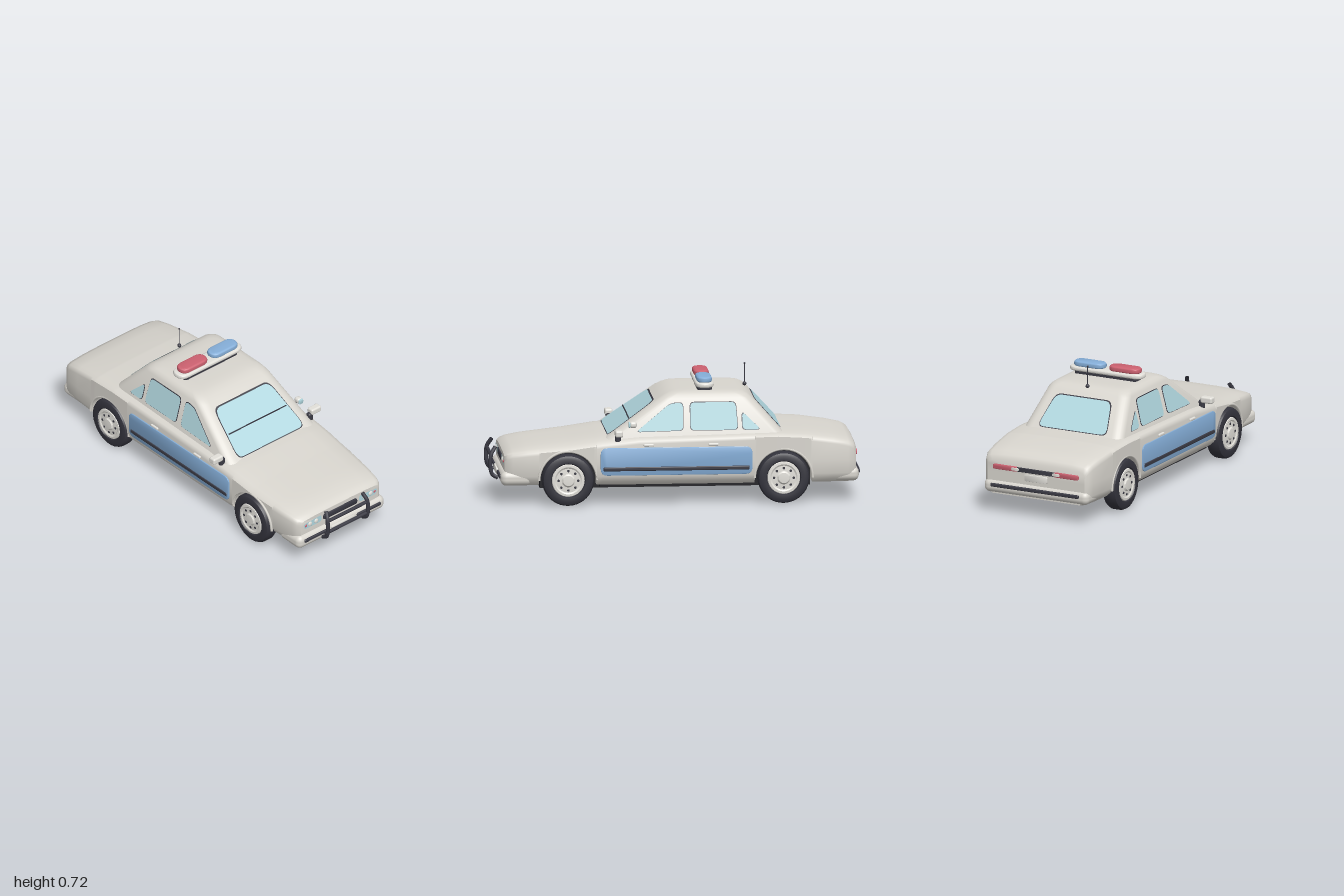
import * as THREE from 'three';
import { toCreasedNormals } from 'three/addons/utils/BufferGeometryUtils.js';
import { RoundedBoxGeometry } from 'three/addons/geometries/RoundedBoxGeometry.js';

const mat = (name, color) => new THREE.MeshStandardMaterial({ name, color, side: THREE.DoubleSide });
const M = {
  paint: mat('paint', 0xd8d5ce), trim: mat('trim', 0x3a3a44), tyre: mat('tyre', 0x33333c),
  glass: mat('glass', 0xb0d6de), blue: mat('blue', 0x85aed8), red: mat('red', 0xcc6170),
  under: mat('underbody', 0x1c1c21), white: mat('white', 0xe2e0da),
};
const SIDES = [1, -1];
const AXLES = [0.585, -0.58], AXLE_Y = 0.14, ARCH_R = 0.155;

// Closed loops joined into a capped skin
function loft(rings, crease = 0.7) {
  const n = rings[0].length, pos = rings.flat(2), idx = [];
  for (let i = 0; i < rings.length - 1; i++)
    for (let j = 0; j < n; j++) {
      const a = i * n + j, b = i * n + (j + 1) % n;
      idx.push(a, b, a + n, b, b + n, a + n);
    }
  [0, rings.length - 1].forEach((r, end) => {
    const c = pos.length / 3;
    for (let k = 0; k < 3; k++) pos.push(rings[r].reduce((s, p) => s + p[k], 0) / n);
    for (let j = 0; j < n; j++) {
      const a = r * n + j, b = r * n + (j + 1) % n;
      idx.push(c, ...(end ? [a, b] : [b, a]));
    }
  });
  const g = new THREE.BufferGeometry();
  g.setAttribute('position', new THREE.Float32BufferAttribute(pos, 3));
  g.setIndex(idx);
  return toCreasedNormals(g, crease);
}

// Polygon with softened corners
function softShape(pts, r) {
  const v = pts.map(p => new THREE.Vector2(...p)), s = new THREE.Shape(), n = v.length;
  v.forEach((p, i) => {
    const toward = q => p.clone().add(q.clone().sub(p).setLength(Math.min(r, q.distanceTo(p) / 2)));
    const a = toward(v[(i + n - 1) % n]), b = toward(v[(i + 1) % n]);
    i ? s.lineTo(a.x, a.y) : s.moveTo(a.x, a.y);
    s.quadraticCurveTo(p.x, p.y, b.x, b.y);
  });
  s.closePath();
  return s;
}
const rect = (w, h) => [[-w / 2, -h / 2], [w / 2, -h / 2], [w / 2, h / 2], [-w / 2, h / 2]];

// Flat shape bent onto a surface by a rule
function plate(pts, r, rule) {
  const g = new THREE.ShapeGeometry(softShape(pts, r), 6), p = g.attributes.position;
  for (let i = 0; i < p.count; i++) p.setXYZ(i, ...rule(p.getX(i), p.getY(i)));
  g.computeVertexNormals();
  return g;
}

// Rounded slab facing +z
function pad(w, h, d, r, b) {
  const g = new THREE.ExtrudeGeometry(softShape(rect(w - 2 * b, h - 2 * b), r),
    { depth: d - 2 * b, bevelSize: b, bevelThickness: b, bevelSegments: 4, curveSegments: 6 });
  return toCreasedNormals(g.translate(0, 0, b - d / 2), 0.7);
}

// Lower body stations: z, half width, top height, shoulder drop
const KEYS = [
  [-0.975, 0.298, 0.305, 0.02], [-0.96, 0.315, 0.33, 0.02], [-0.93, 0.325, 0.346, 0.02],
  [-0.85, 0.332, 0.363, 0.02], [-0.7, 0.34, 0.382, 0.018], [-0.55, 0.342, 0.388, 0.015],
  [0.2, 0.342, 0.376, 0.02], [0.4, 0.341, 0.366, 0.03], [0.57, 0.334, 0.342, 0.03],
  [0.8, 0.316, 0.316, 0.025], [0.88, 0.304, 0.301, 0.02], [0.91, 0.294, 0.288, 0.015],
  [0.925, 0.277, 0.274, 0.012],
];
function bodyRing(z) {
  const k = Math.max(0, Math.min(KEYS.length - 2, KEYS.findIndex(q => q[0] >= z) - 1));
  const t = (z - KEYS[k][0]) / (KEYS[k + 1][0] - KEYS[k][0]);
  const [, w, top, drop] = KEYS[k].map((q, i) => THREE.MathUtils.lerp(q, KEYS[k + 1][i], t));
  let floor = 0.11;
  for (const c of AXLES) {
    const d = Math.abs(z - c);
    if (d < ARCH_R) floor = AXLE_Y + Math.sqrt(ARCH_R ** 2 - d * d);
  }
  const sh = top - drop, half = [];
  for (const [f, y] of [[0.9, 0.11], [0.96, 0.13], [1, 0.16], [1, 0.23], [1, sh - 0.022], [0.99, sh - 0.008]])
    half.push([w * (floor > 0.16 ? 1 : f), Math.max(floor, y)]);
  half.push([w * 0.965, sh + drop * 0.15], [w * 0.9, sh + drop * 0.5], [w * 0.65, sh + drop * 0.88], [w * 0.3, top]);
  return [...half, ...half.slice().reverse().map(([x, y]) => [-x, y])].map(([x, y]) => [x, y, z]);
}
function bodyGeometry() {
  const zs = KEYS.map(k => k[0]);
  for (const c of AXLES) {
    for (let i = 0; i <= 20; i++) zs.push(c + ARCH_R * 0.9999 * Math.cos(i * Math.PI / 20));
    zs.push(c - ARCH_R - 0.001, c + ARCH_R + 0.001);
  }
  return loft(zs.sort((a, b) => a - b).map(bodyRing));
}

// Cabin faces lean inward linearly with height
const frontZ = y => 0.36 - (y - 0.37) * 1.42;
const rearZ = y => -0.572 + (y - 0.39) * 0.9;
const sideX = y => 0.295 - (y - 0.4) * 0.27;
function cabinGeometry() {
  const levels = [[0.33, 0], [0.37, 0], [0.565, 0], [0.582, 0.006], [0.593, 0.018], [0.599, 0.04], [0.601, 0.08]];
  return loft(levels.map(([y, inset]) => {
    const hw = sideX(y) - inset, zf = frontZ(y) - inset, zr = rearZ(y) + inset, r = 0.055, ring = [];
    for (let q = 0; q < 4; q++)
      for (let i = 0; i <= 6; i++) {
        const a = (q + i / 6) * Math.PI / 2;
        const cx = (q === 0 || q === 3 ? 1 : -1) * (hw - r), cz = q < 2 ? zr + r : zf - r;
        ring.push([cx + r * Math.cos(a), y, cz - r * Math.sin(a)]);
      }
    return ring;
  }));
}

export function createModel() {
  const car = new THREE.Group();
  car.name = 'patrolCar';
  const add = (name, geo, material, x = 0, y = 0, z = 0, parent = car) => {
    const m = new THREE.Mesh(geo, material);
    m.name = name;
    m.position.set(x, y, z);
    parent.add(m);
    return m;
  };
  const tube = (pts, r) => new THREE.TubeGeometry(
    new THREE.CatmullRomCurve3(pts.map(p => new THREE.Vector3(...p))), 20, r, 10);
  const box = (w, h, d, r = 0.008) => new RoundedBoxGeometry(w, h, d, 3, r);

  add('lowerBody', bodyGeometry(), M.paint);
  add('cabin', cabinGeometry(), M.paint);
  add('chassis', new THREE.BoxGeometry(0.47, 0.19, 1.46), M.under, 0, 0.178);
  add('floorPan', new THREE.BoxGeometry(0.58, 0.02, 0.82), M.under, 0, 0.105);

  // Windscreen and rear window with dark surrounds
  const trapezoid = (b, t, y0, y1, e) => [[-b - e, y0 - e], [b + e, y0 - e], [t + e, y1 + e], [-t - e, y1 + e]];
  for (const [name, b, t, y0, y1, zAt, s] of [
    ['windscreen', 0.235, 0.192, 0.372, 0.545, frontZ, 1], ['rearWindow', 0.21, 0.168, 0.395, 0.545, rearZ, -1]]) {
    add(name + 'Surround', plate(trapezoid(b, t, y0, y1, 0.004), 0.035, (x, y) => [x, y, zAt(y) + s * 0.003]), M.trim);
    add(name, plate(trapezoid(b, t, y0, y1, 0), 0.035, (x, y) => [x, y, zAt(y) + s * 0.006]), M.glass);
  }
  add('wiper', new THREE.BoxGeometry(0.41, 0.004, 0.006), M.trim, 0, 0.455, frontZ(0.455) + 0.008);

  // Side windows, given as z and y
  const windows = {
    frontSideWindow: [[0.215, 0.395], [-0.04, 0.4], [-0.04, 0.545], [0.03, 0.54]],
    middleSideWindow: [[-0.08, 0.4], [-0.335, 0.4], [-0.325, 0.545], [-0.08, 0.545]],
    rearSideWindow: [[-0.36, 0.4], [-0.46, 0.4], [-0.36, 0.495]],
  };
  for (const s of SIDES)
    for (const [name, pts] of Object.entries(windows)) {
      const c = [0, 1].map(k => pts.reduce((a, p) => a + p[k], 0) / pts.length);
      const wide = pts.map(p => p.map((v, k) => v + Math.sign(v - c[k]) * 0.003));
      add(name + 'Surround', plate(wide, 0.025, (z, y) => [s * (sideX(y) + 0.002), y, z]), M.trim);
      add(name, plate(pts, 0.025, (z, y) => [s * (sideX(y) + 0.005), y, z]), M.glass);
    }

  // Wheels
  const V = pts => pts.map(p => new THREE.Vector2(...p));
  const axleTurn = g => toCreasedNormals(g.rotateZ(-Math.PI / 2), 0.6);
  const tyre = axleTurn(new THREE.LatheGeometry(V([[0, -0.043], [0.118, -0.043], [0.133, -0.036], [0.14, -0.022],
    [0.14, 0.022], [0.133, 0.036], [0.118, 0.043], [0.094, 0.041], [0.088, 0.03], [0, 0.03]]), 40));
  const hub = axleTurn(new THREE.LatheGeometry(V([[0.09, 0.03], [0.086, 0.04], [0.074, 0.041], [0.066, 0.036],
    [0.036, 0.038], [0.028, 0.045], [0, 0.047]]), 32));
  const hole = new THREE.CylinderGeometry(0.007, 0.007, 0.006, 10).rotateZ(-Math.PI / 2);
  for (const s of SIDES)
    for (const z of AXLES) {
      const wheel = new THREE.Group();
      wheel.name = 'wheel';
      wheel.position.set(s * 0.304, AXLE_Y, z);
      if (s < 0) wheel.rotation.y = Math.PI;
      car.add(wheel);
      add('tyre', tyre, M.tyre, 0, 0, 0, wheel);
      add('hub', hub, M.white, 0, 0, 0, wheel);
      for (let i = 0; i < 8; i++) {
        const a = i * Math.PI / 4;
        add('hubHole', hole, M.trim, 0.036, 0.053 * Math.cos(a), 0.053 * Math.sin(a), wheel);
      }
      add('archLip', new THREE.TorusGeometry(ARCH_R + 0.002, 0.007, 8, 28, Math.PI).rotateY(Math.PI / 2),
        M.paint, s * (z > 0 ? 0.328 : 0.336), AXLE_Y, z);
    }

  // Doors: coloured panel, rubbing strip, handles, mirrors
  for (const s of SIDES) {
    add('doorPanel', pad(0.82, 0.15, 0.009, 0.035, 0.002).rotateY(Math.PI / 2), M.blue, s * 0.343, 0.24, 0);
    add('rubbingStrip', box(0.014, 0.022, 0.79, 0.006), M.trim, s * 0.345, 0.2, 0);
    for (const z of [0.15, -0.2]) add('doorHandle', box(0.016, 0.014, 0.055, 0.005), M.white, s * 0.344, 0.328, z);
    add('mirrorStalk', box(0.034, 0.065, 0.032, 0.013), M.trim, s * 0.314, 0.36, 0.315);
    add('mirrorHousing', box(0.07, 0.036, 0.042, 0.01), M.white, s * 0.35, 0.396, 0.313);
  }
  add('spotLamp', box(0.034, 0.034, 0.04, 0.014), M.white, 0.306, 0.435, 0.232);
  add('spotLampLens', pad(0.03, 0.03, 0.008, 0.01, 0.002), M.glass, 0.306, 0.435, 0.252);
  add('spotLampArm', tube([[0.275, 0.415, 0.225], [0.29, 0.422, 0.225], [0.306, 0.43, 0.23]], 0.005), M.trim);

  // Nose: bumper, grille, headlamps
  add('frontBumper', box(0.62, 0.078, 0.17, 0.032), M.paint, 0, 0.146, 0.862);
  add('frontPlate', pad(0.165, 0.034, 0.01, 0.008, 0.002), M.white, 0, 0.152, 0.949);
  add('grille', pad(0.24, 0.034, 0.012, 0.012, 0.003), M.trim, 0, 0.234, 0.926);
  for (const s of SIDES) {
    add('bumperRubber', box(0.17, 0.02, 0.016, 0.007), M.trim, s * 0.187, 0.155, 0.946);
    add('headlamp', plate([[0.135, 0.217], [0.255, 0.217], [0.262, 0.25], [0.135, 0.258]], 0.012,
      (x, y) => [s * x, y, 0.929]), M.glass);
    for (const [name, x, r, m] of [['lamp', 0.172, 0.014, M.white], ['lamp', 0.216, 0.014, M.white], ['indicator', 0.245, 0.008, M.red]])
      add(name, new THREE.SphereGeometry(r, 16, 10).scale(1, 1, 0.4), m, s * x, 0.236, 0.929);
  }

  // Push bar
  for (const s of SIDES)
    add('pushBarUpright', tube([[s * 0.142, 0.128, 0.95], [s * 0.142, 0.15, 0.982], [s * 0.142, 0.25, 0.988],
      [s * 0.13, 0.297, 0.962]], 0.011), M.trim);
  for (const [y, hw] of [[0.247, 0.145], [0.175, 0.156]])
    add('pushBarRail', new THREE.CylinderGeometry(0.01, 0.01, hw * 2, 12).rotateZ(Math.PI / 2), M.trim, 0, y, 0.986);

  // Tail: bumper, lamps, plate
  add('rearBumper', box(0.64, 0.075, 0.15, 0.032), M.paint, 0, 0.15, -0.915);
  add('rearRubber', box(0.54, 0.02, 0.014, 0.006), M.trim, 0, 0.16, -0.992);
  add('rearPlate', pad(0.14, 0.038, 0.009, 0.008, 0.002), M.white, 0, 0.222, -0.977);
  add('tailTrim', pad(0.24, 0.024, 0.01, 0.006, 0.002), M.trim, 0, 0.262, -0.977);
  for (const s of SIDES) {
    add('tailLamp', pad(0.15, 0.028, 0.012, 0.008, 0.003), M.red, s * 0.187, 0.262, -0.977);
    add('reverseLamp', pad(0.045, 0.016, 0.012, 0.005, 0.002), M.white, s * 0.125, 0.262, -0.981);
  }

  // Roof light bar and aerial
  const flat = (...a) => pad(...a).rotateX(-Math.PI / 2);
  add('lightBarFoot', flat(0.38, 0.08, 0.022, 0.02, 0.004), M.trim, 0, 0.608, -0.165);
  add('lightBarBase', flat(0.45, 0.1, 0.026, 0.04, 0.012), M.white, 0, 0.628, -0.165);
  for (const s of SIDES)
    add(s > 0 ? 'blueBeacon' : 'redBeacon', flat(0.188, 0.084, 0.032, 0.035, 0.014), s > 0 ? M.blue : M.red,
      s * 0.108, 0.654, -0.165);
  add('aerial', new THREE.CylinderGeometry(0.0025, 0.0025, 0.115, 8), M.trim, 0, 0.655, -0.395);
  add('aerialTip', new THREE.SphereGeometry(0.005, 10, 8), M.trim, 0, 0.711, -0.395);
  add('aerialBase', new THREE.SphereGeometry(0.011, 12, 8), M.trim, 0, 0.6, -0.395);
  return car;
}
